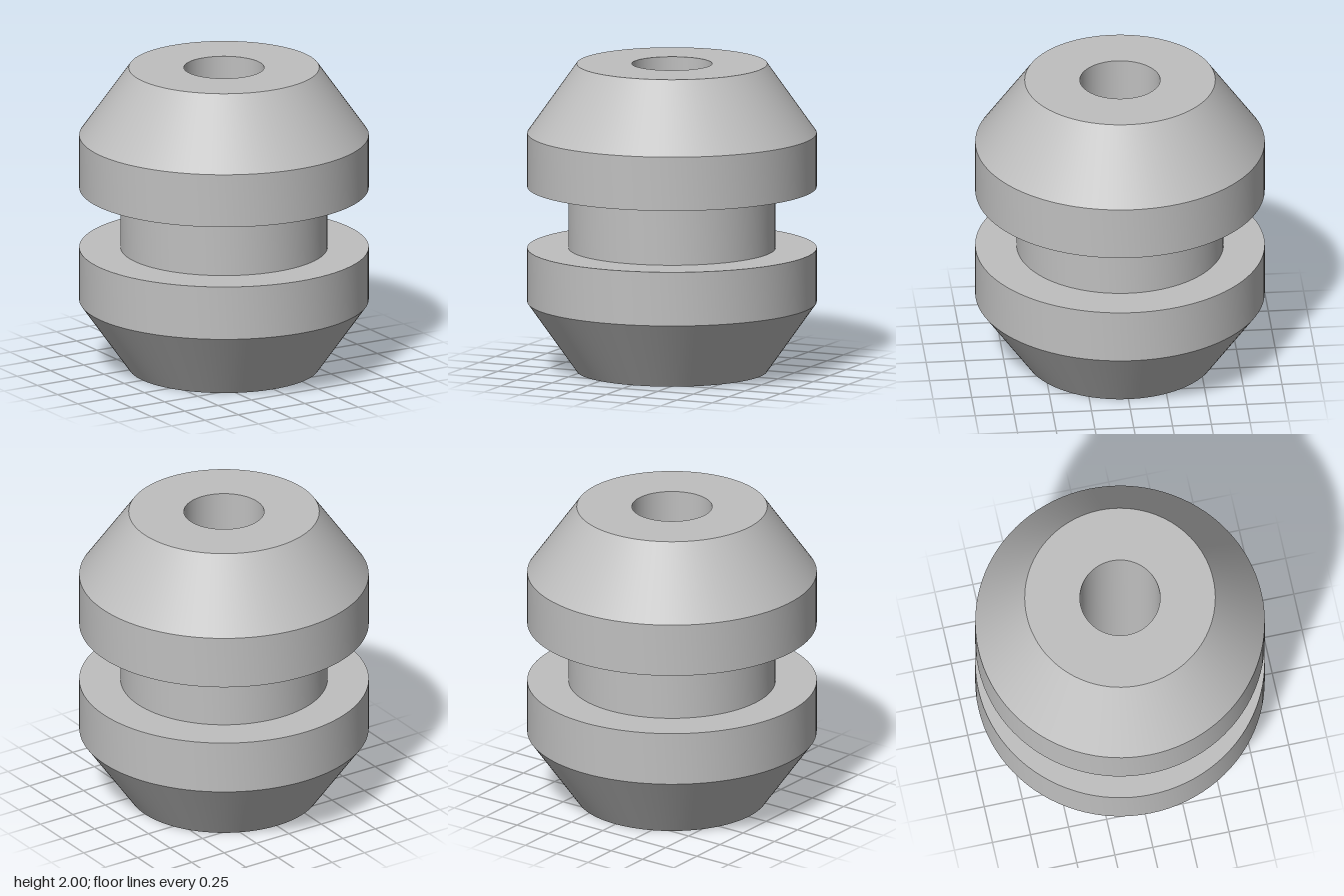
import * as THREE from 'three';
import { toCreasedNormals } from 'three/addons/utils/BufferGeometryUtils.js';

export function createModel() {
  const group = new THREE.Group();
  group.name = 'bushing';

  const rubber = new THREE.MeshStandardMaterial({ color: 0xbfbfbf });
  rubber.name = 'grey rubber';

  const hole = 0.258, end = 0.612, rim = 0.93, neck = 0.665;

  // closed section: up the outside, then down the bore
  const profile = [
    [hole, 0], [end, 0], [rim, 0.45], [rim, 0.8], [neck, 0.8],
    [neck, 1.2], [rim, 1.2], [rim, 1.55], [end, 2], [hole, 2], [hole, 0],
  ].map(([r, y]) => new THREE.Vector2(r, y));

  // grooved body with tapered ends and a through hole
  const geometry = toCreasedNormals(new THREE.LatheGeometry(profile, 96), 0.4);
  const body = new THREE.Mesh(geometry, rubber);
  body.name = 'groovedBody';
  group.add(body);

  return group;
}
